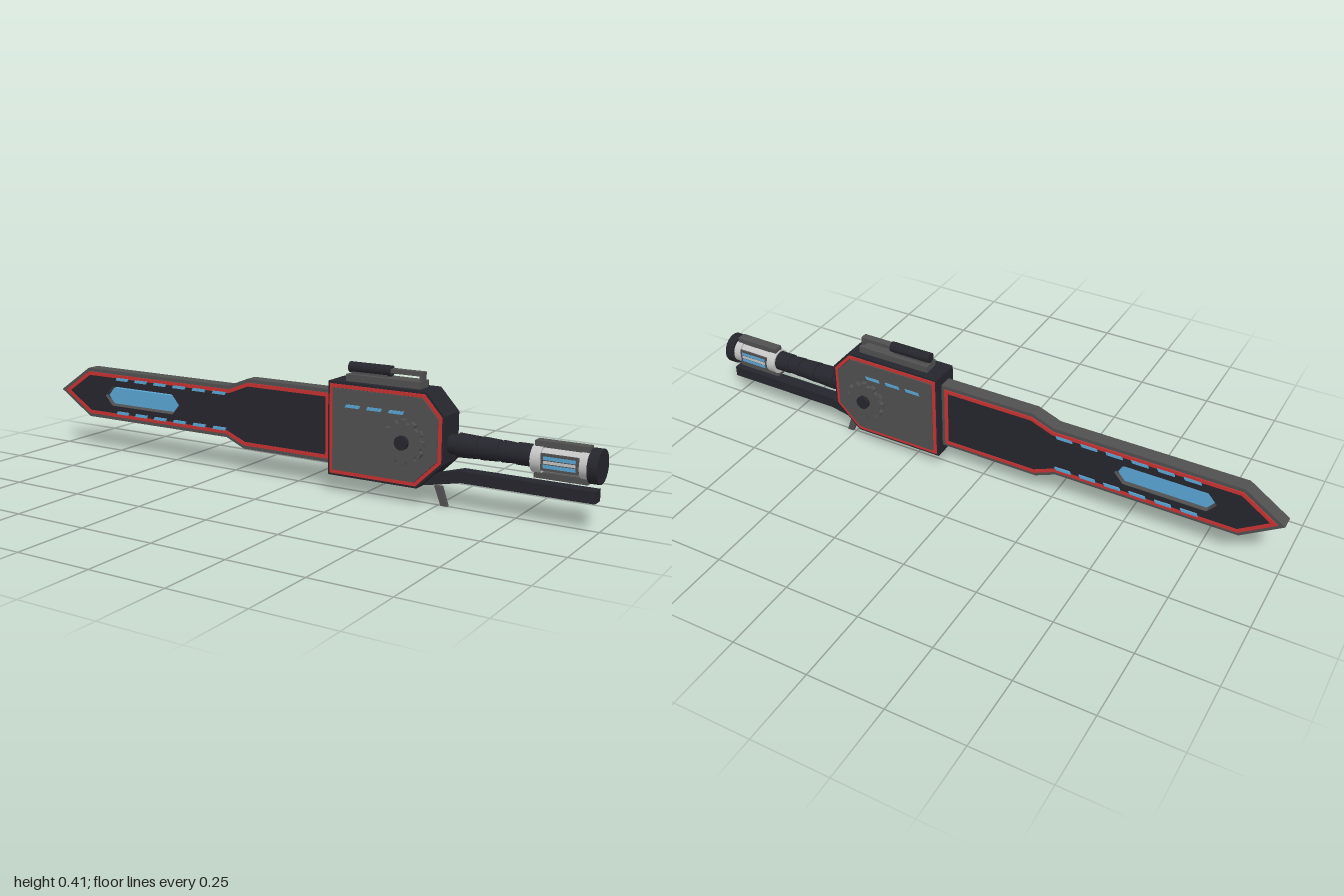
import * as THREE from 'three';

const mat = (name, color) => Object.assign(new THREE.MeshStandardMaterial({ color }), { name });

// Moves every edge of a counter-clockwise outline inwards by d
function inset(pts, d) {
  const n = pts.length;
  return pts.map((p, i) => {
    const a = pts[(i + n - 1) % n], b = pts[(i + 1) % n];
    const u = new THREE.Vector2(p[0] - a[0], p[1] - a[1]).normalize();
    const v = new THREE.Vector2(b[0] - p[0], b[1] - p[1]).normalize();
    const k = d / (1 + u.dot(v));
    return [p[0] - (u.y + v.y) * k, p[1] + (u.x + v.x) * k];
  });
}

const toPoints = pts => pts.map(p => new THREE.Vector2(p[0], p[1]));

export function createModel() {
  const root = new THREE.Group();
  const grey = mat('gunmetal', 0x505050);
  const dark = mat('dark casing', 0x25252d);
  const red = mat('red trim', 0xc83232);
  const blue = mat('blue glow', 0x5aa5d4);
  const light = mat('light metal', 0xc4c4c4);

  const add = (name, geo, m, x = 0, y = 0, z = 0) => {
    const mesh = new THREE.Mesh(geo, m);
    mesh.name = name;
    mesh.position.set(x, y, z);
    root.add(mesh);
    return mesh;
  };
  const box = (name, m, x0, x1, y0, y1, z0, z1) =>
    add(name, new THREE.BoxGeometry(x1 - x0, y1 - y0, z1 - z0), m, (x0 + x1) / 2, (y0 + y1) / 2, (z0 + z1) / 2);
  // Flat outline extruded from z0 to z1
  const slab = (name, m, pts, z0, z1, hole) => {
    const shape = new THREE.Shape(toPoints(pts));
    if (hole) shape.holes.push(new THREE.Path(toPoints(hole)));
    return add(name, new THREE.ExtrudeGeometry(shape, { depth: z1 - z0, bevelEnabled: false }), m, 0, 0, z0);
  };
  // The same slab on the front and on the back
  const bothSides = (name, m, pts, z0, z1, hole) => {
    slab(name, m, pts, z0, z1, hole);
    slab(name, m, pts, -z1, -z0, hole);
  };
  // Turned part along x; profile is [x, radius]
  const turned = (name, m, profile, y, z = 0, sides = 24) => {
    const g = new THREE.CylinderGeometry(1, 1, 1, sides);
    g.dispose();
    for (let i = 0; i < profile.length - 1; i++) {
      const [x0, r0] = profile[i], [x1, r1] = profile[i + 1];
      if (x1 === x0) continue;
      const c = new THREE.CylinderGeometry(r0, r1, x1 - x0, sides);
      c.rotateZ(Math.PI / 2);
      add(name, c, m, (x0 + x1) / 2, y, z);
    }
  };
  const dash = (x, y, len, h) => [[x, y - h], [x + len, y - h], [x + len + h, y + h], [x + h, y + h]];

  // Blade with a slot cut through it
  const blade = [[-1, 0.2], [-0.87, 0.115], [-0.27, 0.115], [-0.2, 0.085], [0.14, 0.085],
    [0.14, 0.32], [-0.185, 0.32], [-0.26, 0.29], [-0.87, 0.29]];
  const slot = [[-0.795, 0.2], [-0.765, 0.165], [-0.495, 0.165], [-0.465, 0.2], [-0.495, 0.235], [-0.765, 0.235]];
  const trim = inset(blade, 0.012), panel = inset(blade, 0.024);
  slab('blade', grey, blade, -0.023, 0.023, slot);
  bothSides('bladeTrim', red, trim, 0.023, 0.027, panel);
  bothSides('bladePanel', dark, panel, 0.023, 0.025, slot);
  slab('bladeCore', blue, inset(slot, 0.007), -0.014, 0.014);
  box('coreMount', dark, -0.8, -0.785, 0.19, 0.21, -0.01, 0.01);
  box('coreMount', dark, -0.477, -0.46, 0.19, 0.21, -0.01, 0.01);
  for (let i = 0; i < 6; i++) {
    for (const y of [0.263, 0.143]) {
      bothSides('bladeLight', blue, dash(-0.742 + 0.0835 * i, y, 0.052, 0.005), 0.024, 0.029);
    }
  }
  box('bladeRoot', dark, 0.13, 0.16, 0.1, 0.31, -0.022, 0.022);

  // Housing with trimmed side covers
  const body = [[0.14, 0.055], [0.45, 0.055], [0.537, 0.14], [0.537, 0.285], [0.475, 0.353], [0.14, 0.353]];
  slab('housing', dark, body, -0.05, 0.05);
  bothSides('housingTrim', red, inset(body, 0.007), 0.05, 0.053, inset(body, 0.018));
  bothSides('sideCover', grey, inset(body, 0.019), 0.05, 0.056);
  for (let i = 0; i < 3; i++) {
    bothSides('housingLight', blue, dash(0.203 + 0.075 * i, 0.282, 0.05, 0.005), 0.056, 0.058);
  }

  // Gear wheels and hubs
  const gear = [], teeth = 12;
  for (let i = 0; i < teeth; i++) {
    [[-0.32, 0.059], [-0.22, 0.07], [0.22, 0.07], [0.32, 0.059]].forEach(([o, r]) => {
      const a = (i + o) / teeth * Math.PI * 2;
      gear.push([0.41 + r * Math.cos(a), 0.196 + r * Math.sin(a)]);
    });
  }
  bothSides('gear', grey, gear, 0.056, 0.07);
  const hub = new THREE.CylinderGeometry(0.022, 0.022, 0.166, 16);
  hub.rotateX(Math.PI / 2);
  add('gearHub', hub, dark, 0.41, 0.196, 0);

  // Top carrying rail
  box('railBase', grey, 0.19, 0.445, 0.35, 0.375, -0.027, 0.027);
  turned('railGrip', dark, [[0.19, 0.017], [0.335, 0.017]], 0.394, 0, 16);
  box('railFoot', grey, 0.2, 0.325, 0.37, 0.39, -0.012, 0.012);
  box('railBar', grey, 0.33, 0.445, 0.389, 0.402, -0.012, 0.012);
  box('railPost', grey, 0.434, 0.445, 0.37, 0.395, -0.012, 0.012);

  // Ribbed grip
  turned('grip', dark, [[0.53, 0.03], [0.565, 0.03], [0.565, 0.037], [0.63, 0.034], [0.63, 0.03], [0.64, 0.03],
    [0.64, 0.035], [0.695, 0.032], [0.695, 0.028], [0.705, 0.028], [0.705, 0.033], [0.75, 0.03],
    [0.75, 0.033], [0.8, 0.033]], 0.195);

  // Power cell behind the grip
  turned('cellShell', light, [[0.8, 0.042], [0.83, 0.042], [0.83, 0.036], [0.945, 0.036], [0.945, 0.042], [0.972, 0.042]], 0.19);
  turned('endCap', dark, [[0.97, 0.051], [1, 0.051]], 0.19);
  for (const s of [-1, 1]) {
    const y = 0.19 + s * 0.046;
    box('cellBar', grey, 0.805, 0.965, y - 0.009, y + 0.009, -0.016, 0.016);
    box('cellWindow', grey, 0.832, 0.943, 0.165, 0.215, s * 0.036 - 0.003, s * 0.036 + 0.003);
    for (const dy of [-0.012, 0.012]) {
      box('cellGlow', blue, 0.84, 0.935, 0.185 + dy, 0.195 + dy, s * 0.039 - 0.002, s * 0.039 + 0.002);
    }
    box('cellRib', light, 0.84, 0.935, 0.186, 0.194, s * 0.039 - 0.002, s * 0.039 + 0.002);
  }

  // Lower guard and trigger
  slab('guard', dark, [[0.44, 0.057], [0.47, 0.062], [0.58, 0.085], [0.99, 0.085], [0.99, 0.121],
    [0.575, 0.121], [0.5, 0.1], [0.46, 0.09]], -0.021, 0.021);
  slab('trigger', grey, [[0.51, 0], [0.532, 0], [0.512, 0.06], [0.487, 0.06]], -0.006, 0.006);

  return root;
}
